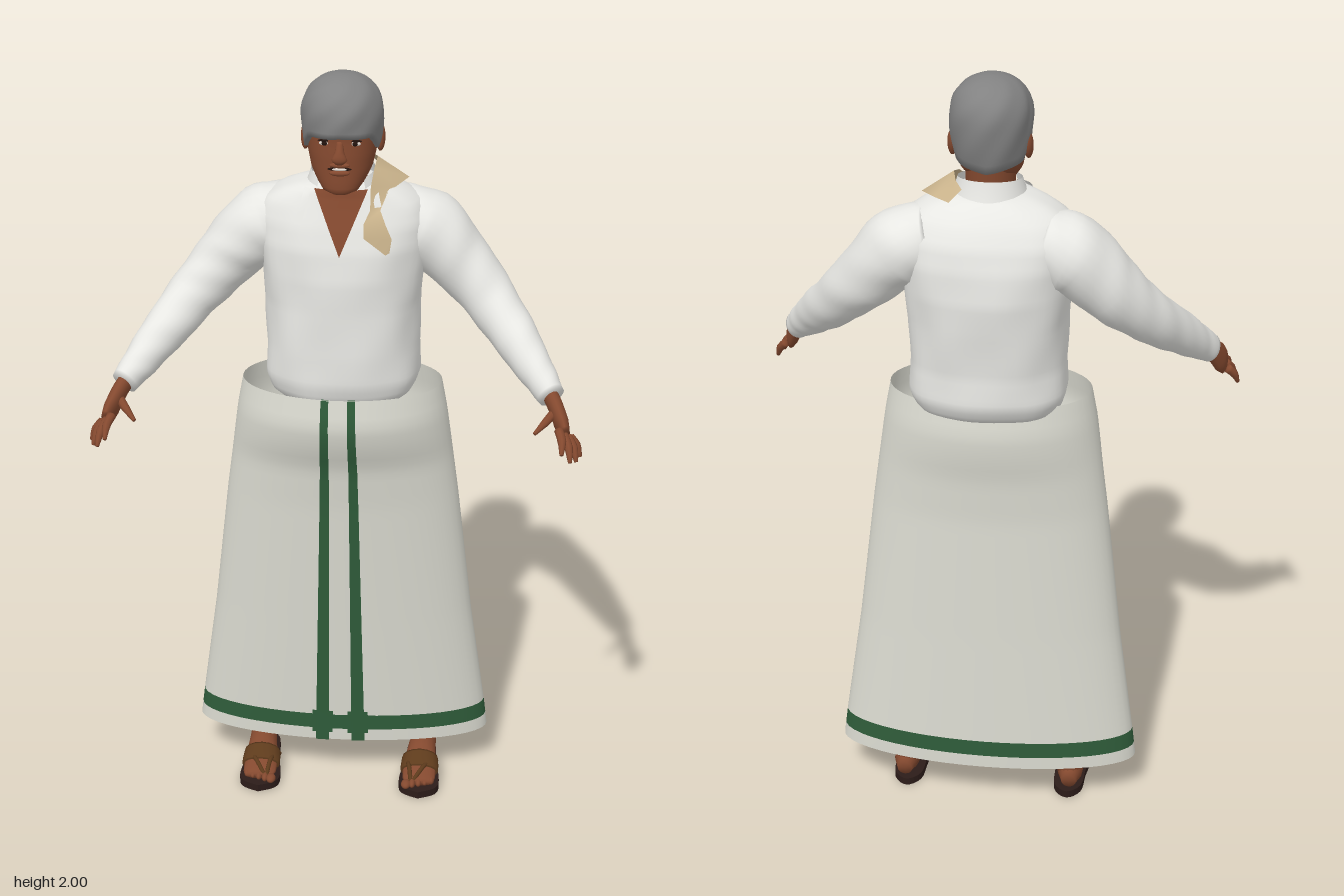
import * as THREE from 'three';

const mat = (name, color, side = THREE.DoubleSide) => Object.assign(new THREE.MeshStandardMaterial({ color, side }), { name });
const V = (x, y, z) => new THREE.Vector3(x, y, z);
const lerp = THREE.MathUtils.lerp;

// Skin a list of point rings; rings run from bottom to top
function loft(rings, { closed = true, caps = true } = {}) {
  const n = rings[0].length, pos = [], idx = [];
  rings.forEach(r => r.forEach(p => pos.push(p.x, p.y, p.z)));
  for (let j = 0; j < rings.length - 1; j++) {
    for (let i = 0; i < (closed ? n : n - 1); i++) {
      const a = j * n + i, b = j * n + (i + 1) % n;
      idx.push(a, a + n, b, b, a + n, b + n);
    }
  }
  if (caps) [0, rings.length - 1].forEach((j, top) => {
    const c = rings[j].reduce((s, p) => s.add(p), V(0, 0, 0)).divideScalar(n);
    const k = pos.length / 3;
    pos.push(c.x, c.y, c.z);
    for (let i = 0; i < n; i++) {
      const a = j * n + i, b = j * n + (i + 1) % n;
      top ? idx.push(k, b, a) : idx.push(k, a, b);
    }
  });
  const g = new THREE.BufferGeometry();
  g.setAttribute('position', new THREE.Float32BufferAttribute(pos, 3));
  g.setIndex(idx);
  g.computeVertexNormals();
  return g;
}

// Upright body from sections [y, halfWidth, frontZ, backZ]
function profile(sections, n = 2) {
  const at = y => {
    let i = 0;
    while (i < sections.length - 2 && y > sections[i + 1][0]) i++;
    const a = sections[i], b = sections[i + 1];
    const t = THREE.MathUtils.clamp((y - a[0]) / (b[0] - a[0]), 0, 1);
    return a.map((v, k) => lerp(v, b[k], t));
  };
  const pow = v => Math.sign(v) * Math.abs(v) ** (2 / n);
  const ring = (y, seg = 48, wave = () => 0) => {
    const [, rx, f, b] = at(y);
    return Array.from({ length: seg }, (_, i) => {
      const a = i / seg * Math.PI * 2, w = 1 + wave(a, y);
      return V(rx * w * pow(Math.cos(a)), y, (f + b) / 2 + (f - b) / 2 * w * pow(Math.sin(a)));
    });
  };
  const front = (x, y) => {
    const [, rx, f, b] = at(y);
    return (f + b) / 2 + (f - b) / 2 * Math.max(0, 1 - Math.abs(x / rx) ** n) ** (1 / n);
  };
  const body = (y0, y1, steps, opt, wave) =>
    loft(Array.from({ length: steps + 1 }, (_, i) => ring(lerp(y0, y1, i / steps), 48, wave)), opt);
  return { front, body };
}

// Thin patch lying on the front of a profile between two x edges
function patch(p, y0, y1, left, right, off = 0.004, ny = 30, nx = 4) {
  return loft(Array.from({ length: ny + 1 }, (_, j) => {
    const y = lerp(y0, y1, j / ny);
    return Array.from({ length: nx + 1 }, (_, i) => {
      const x = lerp(right(y), left(y), i / nx);
      return V(x, y, p.front(x, y) + off);
    });
  }), { closed: false, caps: false });
}

// Limb along points [x, y, z, r1, r2], mirrored by s
function limb(pts, s = 1, steps = 12, seg = 16, wave = () => 0) {
  const curve = new THREE.CatmullRomCurve3(pts.map(p => V(p[0] * s, p[1], p[2])));
  return loft(Array.from({ length: steps + 1 }, (_, j) => {
    const t = j / steps, u = t * (pts.length - 1), k = Math.min(Math.floor(u), pts.length - 2);
    const D = curve.getTangent(t), c = curve.getPoint(t);
    const A = V(1, 0, 0).addScaledVector(D, -D.x).normalize(), B = A.clone().cross(D);
    const r1 = lerp(pts[k][3], pts[k + 1][3], u - k), r2 = lerp(pts[k][4], pts[k + 1][4], u - k);
    return Array.from({ length: seg }, (_, i) => {
      const a = i / seg * Math.PI * 2, w = 1 + wave(a, t);
      return c.clone().addScaledVector(A, Math.cos(a) * r1 * w).addScaledVector(B, Math.sin(a) * r2 * w);
    });
  }));
}

export function createModel() {
  const root = new THREE.Group();
  const skin = mat('skin', 0x84492f), shirt = mat('shirt white', 0xe8e8e4), cloth = mat('wrap white', 0xdadad0);
  const green = mat('border green', 0x2f5c3a), tan = mat('scarf tan', 0xcdb68e), grey = mat('hair grey', 0x828282);
  const sole = mat('sandal sole', 0x2c1c19), strap = mat('sandal strap', 0x5e3b1c);
  const dark = mat('eye dark', 0x22130e), white = mat('tooth white', 0xe0d8d0);
  const add = (name, geo, m) => {
    const mesh = new THREE.Mesh(geo, m);
    mesh.name = name;
    root.add(mesh);
    return mesh;
  };
  const ball = (name, m, x, y, z, rx, ry, rz) => {
    const b = add(name, new THREE.SphereGeometry(1, 16, 12), m);
    b.position.set(x, y, z);
    b.scale.set(rx, ry, rz);
    return b;
  };

  // Wrapped skirt with hem band and two front stripes
  const skirt = profile([[0.12, 0.4, 0.015, -0.235], [0.2, 0.39, 0.018, -0.235], [0.5, 0.348, 0.035, -0.223],
    [0.85, 0.308, 0.055, -0.212], [0.97, 0.292, 0.068, -0.218], [1.04, 0.283, 0.094, -0.23],
    [1.1, 0.275, 0.107, -0.235], [1.18, 0.26, 0.092, -0.22]]);
  const open = { caps: false };
  add('skirtHem', skirt.body(0.12, 0.155, 1, open), cloth);
  add('skirtBand', skirt.body(0.155, 0.2, 2, open), green);
  add('skirt', skirt.body(0.2, 1.18, 40, open), cloth);
  for (const s of [-1, 1]) for (const off of [0.004, -0.004]) {
    const mid = y => s * lerp(0.051, 0.034, y / 1.18), half = y => lerp(0.019, 0.01, y / 1.18);
    add('skirtStripe', patch(skirt, 0.12, 1.18, y => mid(y) + half(y), y => mid(y) - half(y), off), green);
    add('stripeFoot', patch(skirt, 0.145, 0.215, y => mid(y) + 0.028, y => mid(y) - 0.028, off, 4), green);
  }

  // Shirt body with soft folds
  const torso = profile([[1.13, 0.15, 0.03, -0.2], [1.16, 0.19, 0.05, -0.25], [1.2, 0.203, 0.06, -0.268],
    [1.28, 0.198, 0.06, -0.265], [1.4, 0.2, 0.056, -0.275], [1.48, 0.208, 0.055, -0.28], [1.56, 0.222, 0.045, -0.272],
    [1.62, 0.225, 0.026, -0.255], [1.665, 0.205, 0.008, -0.228], [1.695, 0.16, -0.002, -0.2],
    [1.715, 0.11, -0.005, -0.175], [1.725, 0.07, -0.01, -0.15]], 2.35);
  const folds = (a, y) => 0.012 * Math.sin(a * 5 + y * 9) * Math.sin(y * 17 + a) + 0.008 * Math.sin(a * 9 - y * 14);
  add('shirtBody', torso.body(1.13, 1.725, 44, {}, folds), shirt);
  add('openNeck', patch(torso, 1.555, 1.715, y => (y - 1.555) * 0.42, y => (1.555 - y) * 0.42, 0.007), skin);
  for (const s of [-1, 1]) {
    const inner = y => s * (0.008 + (y - 1.555) * 0.42), outer = y => s * lerp(0.115, 0.092, (y - 1.63) / 0.085);
    add('collarFlap', patch(torso, 1.63, 1.715, outer, y => s * lerp(0.098, Math.abs(inner(1.715)), (y - 1.63) / 0.085), 0.014, 8), shirt);
  }
  add('collarBand', loft([[1.695, 0.1, 0.098], [1.72, 0.09, 0.088], [1.75, 0.08, 0.08]].map(([y, rx, rz]) =>
    Array.from({ length: 25 }, (_, i) => {
      const a = Math.PI / 2 + 0.75 + i / 24 * (Math.PI * 2 - 1.5);
      return V(rx * Math.cos(a), y - 0.012 * Math.sin(a), -0.08 + rz * Math.sin(a));
    })), { closed: false, caps: false }), shirt);

  // Scarf over the left shoulder, as pairs of edge points
  const scarf = [[0.115, 1.56, 0.04, 0.125, 1.565, 0.036], [0.06, 1.605, 0.045, 0.13, 1.6, 0.032],
    [0.06, 1.64, 0.036, 0.115, 1.635, 0.03], [0.075, 1.67, 0.02, 0.1, 1.67, 0.015], [0.075, 1.725, 0.0, 0.115, 1.7, -0.03],
    [0.08, 1.755, -0.06, 0.135, 1.705, -0.07], [0.085, 1.77, -0.11, 0.165, 1.715, -0.115],
    [0.075, 1.76, -0.15, 0.13, 1.715, -0.15], [0.055, 1.75, -0.185, 0.085, 1.72, -0.2]];
  add('scarf', loft(scarf.map(p => [V(p[3], p[4], p[5]), V(p[0], p[1], p[2])]), { closed: false, caps: false }), tan);

  // Neck, head and face
  add('neck', profile([[1.56, 0.06, -0.01, -0.14], [1.68, 0.06, 0, -0.135], [1.82, 0.064, 0, -0.145]]).body(1.56, 1.82, 8), skin);
  const head = profile([[1.712, 0.022, 0.028, -0.01], [1.72, 0.044, 0.036, -0.04], [1.74, 0.06, 0.037, -0.085],
    [1.77, 0.077, 0.036, -0.13], [1.81, 0.086, 0.036, -0.153], [1.85, 0.09, 0.034, -0.163],
    [1.89, 0.086, 0.036, -0.163], [1.94, 0.06, 0, -0.13]], 2.2);
  add('head', head.body(1.712, 1.94, 26), skin);
  add('nose', limb([[0, 1.85, 0.03, 0.008, 0.008], [0, 1.825, 0.038, 0.012, 0.012], [0, 1.808, 0.042, 0.02, 0.012], [0, 1.798, 0.037, 0.012, 0.008]]), skin);
  ball('upperLip', skin, 0, 1.792, 0.036, 0.026, 0.007, 0.008);
  ball('lowerLip', skin, 0, 1.772, 0.036, 0.026, 0.008, 0.009);
  ball('mouth', dark, 0, 1.782, 0.035, 0.03, 0.005, 0.005);
  ball('teeth', white, 0, 1.782, 0.037, 0.02, 0.004, 0.005);
  for (const s of [-1, 1]) {
    const z = head.front(0.038, 1.845);
    ball('eye', white, s * 0.038, 1.846, z, 0.014, 0.006, 0.004);
    ball('pupil', dark, s * 0.038, 1.846, z + 0.002, 0.007, 0.006, 0.004);
    ball('eyelid', dark, s * 0.038, 1.853, z, 0.017, 0.003, 0.004);
    ball('ear', skin, s * 0.094, 1.832, -0.075, 0.012, 0.035, 0.02).rotation.x = -0.2;
  }

  // Hair cap whose hem dips at the sideburns and nape
  const hems = [[0, 1.868], [50, 1.862], [75, 1.82], [95, 1.858], [112, 1.8], [181, 1.78]];
  const hem = d => {
    const i = hems.findIndex(h => h[0] > d), a = hems[i - 1], b = hems[i];
    return lerp(a[1], b[1], (d - a[0]) / (b[0] - a[0]));
  };
  add('hair', loft(Array.from({ length: 17 }, (_, j) => Array.from({ length: 48 }, (_, i) => {
    const a = i / 48 * Math.PI * 2, h = hem(Math.acos(THREE.MathUtils.clamp(Math.sin(a), -1, 1)) * 180 / Math.PI);
    const y = h + (2 - h) * Math.sin(Math.max(0, j - 1) / 15 * Math.PI / 2), u = (y - 1.9) / 0.1;
    let r = u > 0 ? Math.max(0, 1 - u ** 2.2) ** (1 / 2.2) : 1 - 0.12 * u * u;
    r *= (j ? 1 : 0.8) * (1 + 0.012 * Math.sin(a * 7 + j));
    return V(0.103 * r * Math.cos(a), y, -0.056 + 0.123 * r * Math.sin(a));
  })), { caps: false }), grey);

  for (const s of [-1, 1]) {
    // Sleeve and hand
    add('sleeve', limb([[0.13, 1.6, -0.13, 0.09, 0.1], [0.21, 1.575, -0.13, 0.1, 0.11], [0.3, 1.49, -0.115, 0.082, 0.092],
      [0.38, 1.405, -0.07, 0.068, 0.07], [0.45, 1.33, 0.01, 0.058, 0.06], [0.505, 1.27, 0.08, 0.045, 0.048],
      [0.543, 1.228, 0.128, 0.034, 0.038]], s, 36, 24,
      (a, t) => 0.03 * Math.sin(t * 38 + a * 2) * Math.sin(a + t * 9)), shirt);
    add('palm', limb([[0.53, 1.242, 0.115, 0.02, 0.026], [0.55, 1.215, 0.145, 0.02, 0.03],
      [0.568, 1.18, 0.18, 0.019, 0.04], [0.578, 1.158, 0.205, 0.013, 0.036]], s), skin);
    const fingers = [[0.562, 1.178, 0.22, 0.57, 1.14, 0.283], [0.574, 1.164, 0.213, 0.592, 1.115, 0.272],
      [0.584, 1.154, 0.2, 0.608, 1.103, 0.24], [0.59, 1.146, 0.185, 0.618, 1.1, 0.203], [0.548, 1.2, 0.165, 0.502, 1.172, 0.232]];
    for (const [a, b, c, d, e, f] of fingers) {
      add('finger', limb([[a, b, c, 0.012, 0.012], [(a + d) / 2 + 0.004, (b + e) / 2 + 0.004, (c + f) / 2, 0.011, 0.011], [d, e, f, 0.005, 0.005]], s, 6, 8), skin);
    }

    // Leg, foot and sandal
    add('leg', limb([[0.2, 0.6, -0.11, 0.055, 0.06], [0.212, 0.35, -0.12, 0.048, 0.055], [0.222, 0.15, -0.118, 0.034, 0.044], [0.224, 0.05, -0.118, 0.034, 0.045]], s), skin);
    add('foot', limb([[0.225, 0.05, -0.168, 0.02, 0.022], [0.225, 0.058, -0.13, 0.034, 0.04], [0.222, 0.056, -0.05, 0.039, 0.038],
      [0.22, 0.042, 0.01, 0.046, 0.024], [0.22, 0.034, 0.06, 0.045, 0.014], [0.22, 0.031, 0.08, 0.036, 0.009]], s, 16), skin);
    for (let i = 0; i < 5; i++) {
      ball('toe', skin, s * (0.186 + i * 0.017), 0.031, 0.088 - i * 0.007, i ? 0.009 : 0.013, 0.011, 0.019);
    }
    add('strap', limb([[0.22, 0.048, -0.02, 0.05, 0.036], [0.22, 0.042, 0.01, 0.052, 0.03], [0.22, 0.038, 0.03, 0.052, 0.024]], s), strap);
    for (const e of [-1, 1]) {
      const path = new THREE.CatmullRomCurve3([V(s * 0.2, 0.03, 0.085), V(s * (0.212 + e * 0.02), 0.06, 0.04), V(s * (0.22 + e * 0.044), 0.025, -0.05)]);
      add('thong', new THREE.TubeGeometry(path, 12, 0.006, 8), strap);
    }
    const outline = new THREE.Shape(new THREE.SplineCurve([[0, 0.11], [0.045, 0.085], [0.055, 0.04], [0.042, -0.06], [0.036, -0.14],
      [0, -0.175], [-0.036, -0.14], [-0.042, -0.06], [-0.055, 0.04], [-0.045, 0.085], [0, 0.11]].map(p => new THREE.Vector2(...p))).getPoints(40));
    const slab = new THREE.ExtrudeGeometry(outline, { depth: 0.02, bevelEnabled: false });
    add('sandalSole', slab.rotateX(Math.PI / 2).translate(s * 0.22, 0.02, 0), sole);
  }
  return root;
}
